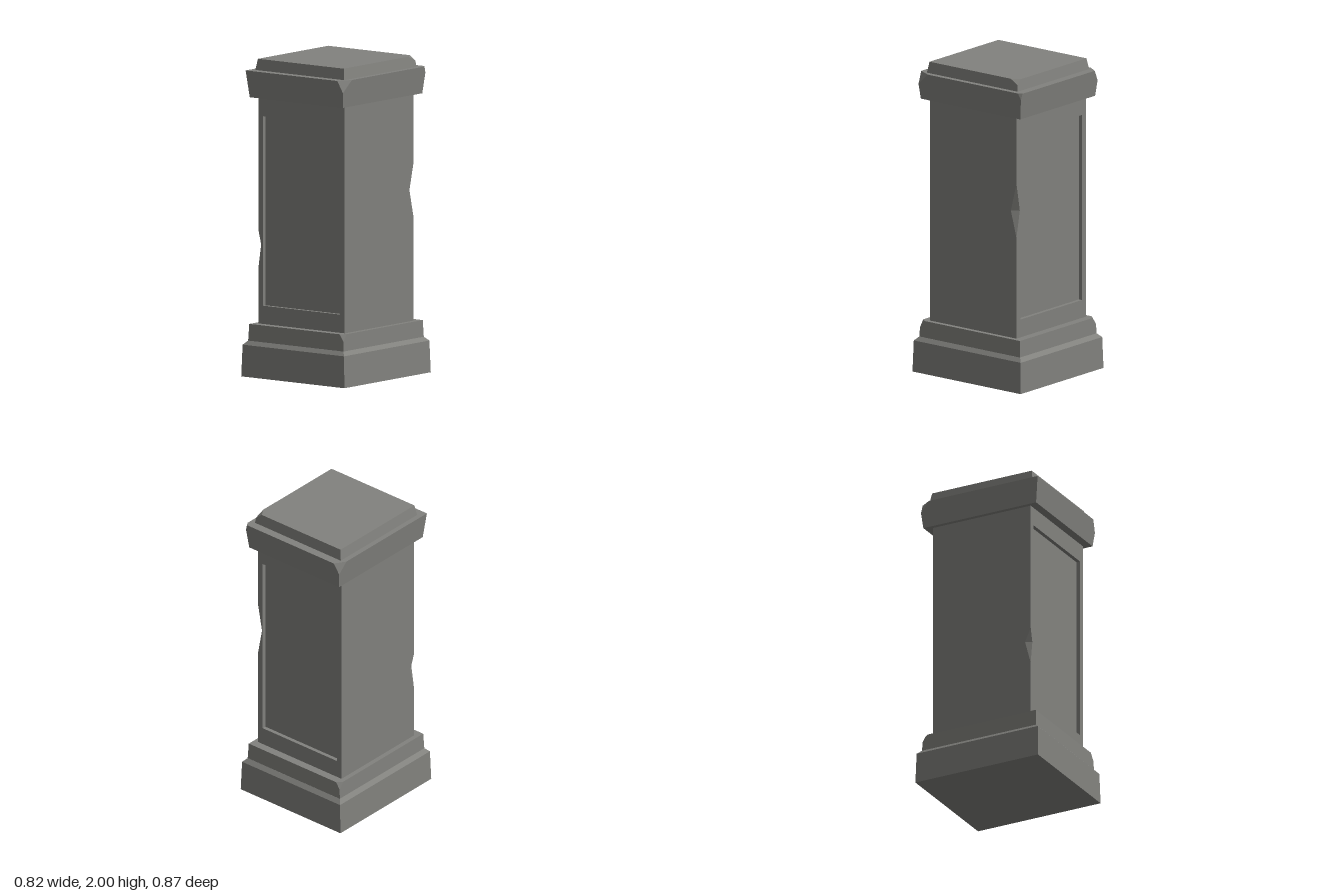
import * as THREE from 'three';
import { ConvexGeometry } from 'three/addons/geometries/ConvexGeometry.js';

const stone = new THREE.MeshStandardMaterial({ color: 0x82827e });
stone.name = 'grey stone';

function mesh(name, geometry) {
  const m = new THREE.Mesh(geometry, stone);
  m.name = name;
  return m;
}

// Tapered block from layers [y, halfX, halfZ]; chips cut corners of the top
// layer: [signX, signZ, cut along x, cut along z, cut down]
function block(name, layers, chips = []) {
  const pts = [];
  const [y1, x1, z1] = layers[layers.length - 1];
  const [y0, x0, z0] = layers[layers.length - 2];
  layers.forEach(([y, hx, hz], i) => {
    for (const sx of [-1, 1]) for (const sz of [-1, 1]) {
      const chip = i === layers.length - 1 && chips.find(c => c[0] === sx && c[1] === sz);
      if (!chip) {
        pts.push(new THREE.Vector3(sx * hx, y, sz * hz));
        continue;
      }
      const [, , dx, dz, dy] = chip;
      const t = dy / (y1 - y0);
      pts.push(
        new THREE.Vector3(sx * (hx - dx), y, sz * hz),
        new THREE.Vector3(sx * hx, y, sz * (hz - dz)),
        new THREE.Vector3(sx * (x1 + (x0 - x1) * t), y - dy, sz * (z1 + (z0 - z1) * t)));
    }
  });
  return mesh(name, new ConvexGeometry(pts));
}

const X = 0.343, Z = 0.347, Y0 = 0.32, Y1 = 1.77;
const PANEL = { x: 0.305, y0: 0.445, y1: 1.64, depth: 0.025 };

const outline = pts => new THREE.Shape(pts.map(p => new THREE.Vector2(...p)));

// Front face, left-hand side face, their shared notched edge and the recess
function shaftHalf(name, lo, mid, hi, cutFront, cutSide) {
  const half = new THREE.Group();
  half.name = name;

  const front = outline([[-X, Y0], [X, Y0], [X, Y1], [-X, Y1], [-X, hi], [-X + cutFront, mid], [-X, lo]]);
  const { x, y0, y1, depth } = PANEL;
  front.holes.push(outline([[-x, y0], [-x, y1], [x, y1], [x, y0]]));
  half.add(mesh('panelFrame', new THREE.ShapeGeometry(front).translate(0, 0, Z)));

  const side = outline([[-Z, Y0], [Z, Y0], [Z, lo], [Z - cutSide, mid], [Z, hi], [Z, Y1], [-Z, Y1]]);
  half.add(mesh('sideFace', new THREE.ShapeGeometry(side).rotateY(-Math.PI / 2).translate(-X, 0, 0)));

  // Two facets meeting in a valley
  const a = [-X, hi, Z], b = [-X, lo, Z], c = [-X + cutFront, mid, Z], d = [-X, mid, Z - cutSide];
  const notch = new THREE.BufferGeometry();
  notch.setAttribute('position', new THREE.Float32BufferAttribute([a, d, c, b, c, d].flat(), 3));
  notch.computeVertexNormals();
  half.add(mesh('edgeNotch', notch));

  // Inside-out box without its front
  const recess = new THREE.BoxGeometry(2 * x, y1 - y0, depth);
  const index = Array.from(recess.index.array);
  index.splice(24, 6);
  recess.setIndex(index);
  recess.scale(-1, 1, 1);
  recess.computeVertexNormals();
  recess.translate(0, (y0 + y1) / 2, Z - depth / 2);
  half.add(mesh('recessedPanel', recess));
  return half;
}

export function createModel() {
  const model = new THREE.Group();
  model.name = 'stonePedestal';

  // Base
  model.add(block('plinth', [[0, 0.41, 0.435], [0.2, 0.403, 0.43], [0.225, 0.379, 0.405]]));
  model.add(block('baseTier', [[0.22, 0.379, 0.405], [0.33, 0.374, 0.4]],
    [[1, 1, 0.028, 0.032, 0.045], [-1, -1, 0.028, 0.032, 0.045]]));

  // Shaft
  const shaft = new THREE.Group();
  shaft.name = 'shaft';
  const back = shaftHalf('backHalf', 0.98, 1.15, 1.33, 0.033, 0.045);
  back.rotation.y = Math.PI;
  shaft.add(shaftHalf('frontHalf', 0.68, 0.83, 0.92, 0.022, 0.04), back);
  model.add(shaft);

  // Cap
  model.add(block('capital', [[1.76, 0.37, 0.4], [1.93, 0.387, 0.42]],
    [[1, 1, 0.045, 0.09, 0.075], [-1, -1, 0.045, 0.07, 0.07], [1, -1, 0.015, 0.025, 0.04]]));
  model.add(block('topSlab', [[1.92, 0.355, 0.367], [2, 0.341, 0.354]],
    [[1, -1, 0.035, 0.055, 0.03]]));
  return model;
}
